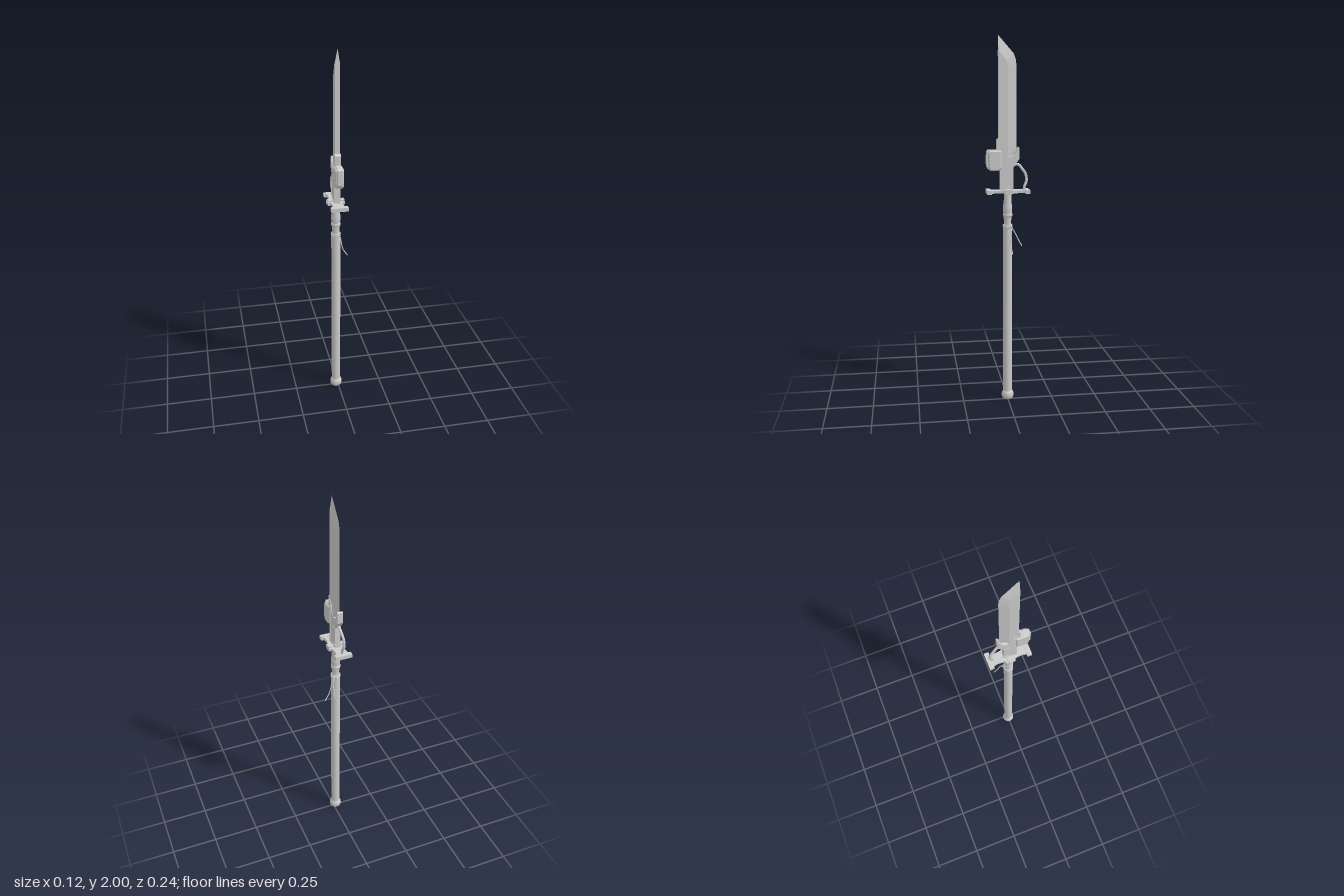
import * as THREE from 'three';

const flat = new THREE.MeshStandardMaterial({ color: 0xcccccc, flatShading: true, side: THREE.DoubleSide });
const smooth = new THREE.MeshStandardMaterial({ color: 0xcccccc, side: THREE.DoubleSide });

export function createModel() {
  const group = new THREE.Group();
  group.position.x = -0.012;

  const add = (name, geometry, material = flat) => {
    const mesh = new THREE.Mesh(geometry, material);
    mesh.name = name;
    group.add(mesh);
    return mesh;
  };
  const box = (name, w, h, d, x, y, z) =>
    add(name, new THREE.BoxGeometry(w, h, d).translate(x, y, z));
  // side profile given as [z, y], extruded symmetrically across x
  const plate = (name, profile, width, bevel = 0) => {
    const shape = new THREE.Shape(profile.map(([z, y]) => new THREE.Vector2(-z, y)));
    const depth = width - 2 * bevel;
    const geo = new THREE.ExtrudeGeometry(shape, {
      depth, bevelEnabled: bevel > 0, bevelSize: bevel, bevelThickness: bevel,
      bevelOffset: -bevel, bevelSegments: 1,
    });
    return add(name, geo.translate(0, 0, -depth / 2).rotateY(Math.PI / 2));
  };
  const tube = (name, points, radius, segments = 24) =>
    add(name, new THREE.TubeGeometry(
      new THREE.CatmullRomCurve3(points.map((p) => new THREE.Vector3(...p))), segments, radius, 8), smooth);
  // each lathe section keeps its own normals, so the steps between them stay sharp
  const turned = (name, sections) => sections.forEach((pts) =>
    add(name, new THREE.LatheGeometry(pts.map(([r, y]) => new THREE.Vector2(r, y)), 24), smooth));

  // pommel, shaft and stepped grip collar
  turned('pommel', [
    [[0, 0], [0.024, 0]],
    [[0.024, 0], [0.031, 0.008], [0.034, 0.02], [0.033, 0.032], [0.029, 0.043], [0.025, 0.047]],
  ]);
  turned('shaft', [[[0.025, 0.04], [0.025, 0.98]], [[0.025, 0.98], [0.02, 0.985]]]);
  turned('collar', [
    [[0.021, 0.98], [0.019, 1.01], [0.022, 1.04]],
    [[0.022, 1.04], [0.026, 1.045]], [[0.026, 1.045], [0.026, 1.057]], [[0.026, 1.057], [0.023, 1.06]],
    [[0.023, 1.06], [0.025, 1.08], [0.025, 1.1], [0.021, 1.12], [0.02, 1.17]],
  ]);

  // cord wound round the neck, with two loose ends
  for (const y of [0.985, 0.995]) {
    add('cordLoop', new THREE.TorusGeometry(0.022, 0.005, 6, 24).rotateX(Math.PI / 2).translate(0, y, 0), smooth);
  }
  add('cordKnot', new THREE.SphereGeometry(0.009, 10, 8).translate(0.018, 0.988, -0.016), smooth);
  tube('cordEnd', [[0.018, 0.99, -0.016], [0.028, 0.96, -0.034], [0.03, 0.92, -0.054], [0.034, 0.885, -0.073]], 0.003);
  tube('cordEnd', [[0.018, 0.99, -0.016], [0.03, 0.95, -0.018], [0.042, 0.89, -0.014], [0.069, 0.845, -0.018]], 0.003);

  // hand guard: flared ends, waisted arms
  const guard = new THREE.Shape();
  guard.moveTo(-0.046, -0.118);
  guard.lineTo(0.046, -0.118);
  guard.lineTo(0.046, -0.093);
  guard.lineTo(0.034, -0.093);
  guard.quadraticCurveTo(0.024, -0.06, 0.034, -0.027);
  guard.lineTo(0.046, -0.027);
  guard.lineTo(0.046, 0.024);
  guard.lineTo(0.034, 0.024);
  guard.quadraticCurveTo(0.024, 0.057, 0.034, 0.09);
  guard.lineTo(0.046, 0.09);
  guard.lineTo(0.046, 0.115);
  guard.lineTo(-0.046, 0.115);
  guard.lineTo(-0.046, 0.09);
  guard.lineTo(-0.034, 0.09);
  guard.quadraticCurveTo(-0.024, 0.057, -0.034, 0.024);
  guard.lineTo(-0.046, 0.024);
  guard.lineTo(-0.046, -0.027);
  guard.lineTo(-0.034, -0.027);
  guard.quadraticCurveTo(-0.024, -0.06, -0.034, -0.093);
  guard.lineTo(-0.046, -0.093);
  add('guard', new THREE.ExtrudeGeometry(guard, { depth: 0.015, bevelEnabled: false })
    .rotateX(Math.PI / 2).translate(0, 1.187, 0));
  for (const z of [-0.1055, 0.1025]) box('guardEnd', 0.092, 0.021, 0.025, 0, 1.179, z);
  box('guardCentre', 0.09, 0.028, 0.03, 0, 1.179, -0.0015);
  box('guardStud', 0.008, 0.014, 0.02, -0.047, 1.179, -0.0015);

  // blade housing with a rear hook cradling the blade heel
  plate('housing', [
    [0.042, 1.18], [-0.03, 1.18], [-0.03, 1.31], [-0.062, 1.355], [-0.062, 1.415], [-0.054, 1.42],
    [-0.048, 1.4], [-0.036, 1.373], [-0.012, 1.363], [0.0, 1.363], [0.006, 1.38], [0.02, 1.395],
    [0.042, 1.395],
  ], 0.03);
  for (const y of [1.205, 1.305]) box('housingBand', 0.034, 0.008, 0.034, 0, y, -0.014);
  box('housingRail', 0.034, 0.17, 0.012, 0, 1.275, 0.036);
  plate('spineMount', [[0.02, 1.37], [0.02, 1.42], [0.044, 1.44], [0.044, 1.465], [0.052, 1.465],
    [0.06, 1.455], [0.06, 1.37]], 0.032);

  // layered cartridge case on the front
  plate('caseCore', [[0.03, 1.3], [0.03, 1.405], [0.108, 1.405], [0.115, 1.395], [0.115, 1.315], [0.106, 1.3]], 0.03, 0.003);
  plate('caseShell', [[0.034, 1.305], [0.034, 1.4], [0.098, 1.4], [0.107, 1.39], [0.107, 1.32], [0.096, 1.293],
    [0.05, 1.293]], 0.048, 0.006);
  box('caseLatch', 0.014, 0.05, 0.006, 0, 1.355, 0.115);
  box('caseCatch', 0.04, 0.03, 0.02, 0, 1.4, 0.028);
  add('casePin', new THREE.CylinderGeometry(0.008, 0.008, 0.03, 12).translate(0, 1.412, 0.03), smooth);

  // curved knuckle tube between housing and guard
  tube('knuckleTube', [[0, 1.32, -0.03], [0.003, 1.325, -0.055], [-0.002, 1.3, -0.08], [-0.005, 1.27, -0.099],
    [-0.003, 1.235, -0.103], [0, 1.205, -0.092], [0, 1.18, -0.088]], 0.0075, 32);

  // blade: a flat spine lofted into a bevel that follows the cutting edge and tip
  const half = 0.013;
  const spineZ = 0.05;
  // rows of [edge z, edge y, bevel z, bevel y]
  const rows = [
    [-0.012, 1.365, 0, 1.363], [-0.036, 1.375, 0, 1.38], [-0.048, 1.402, 0, 1.402],
    [-0.048, 1.84, 0, 1.835], [-0.044, 1.875, 0.003, 1.855], [-0.034, 1.905, 0.008, 1.872],
    [0.05, 2.0, 0.05, 1.92],
  ];
  const positions = [];
  const index = [];
  rows.forEach(([ez, ey, bz, by], i) => {
    positions.push(half, by, spineZ, half, by, bz, 0, ey, ez, -half, by, bz, -half, by, spineZ);
    if (i === rows.length - 1) return;
    for (let j = 0; j < 5; j++) {
      const a = i * 5 + j;
      const b = i * 5 + ((j + 1) % 5);
      index.push(a, b, b + 5, a, b + 5, a + 5);
    }
  });
  // close the spine triangle at the tip
  const last = (rows.length - 1) * 5;
  index.push(last, last + 2, last + 4);
  const blade = new THREE.BufferGeometry();
  blade.setAttribute('position', new THREE.Float32BufferAttribute(positions, 3));
  blade.setIndex(index);
  const bladeFlat = blade.toNonIndexed();
  bladeFlat.computeVertexNormals();
  add('blade', bladeFlat);

  return group;
}
